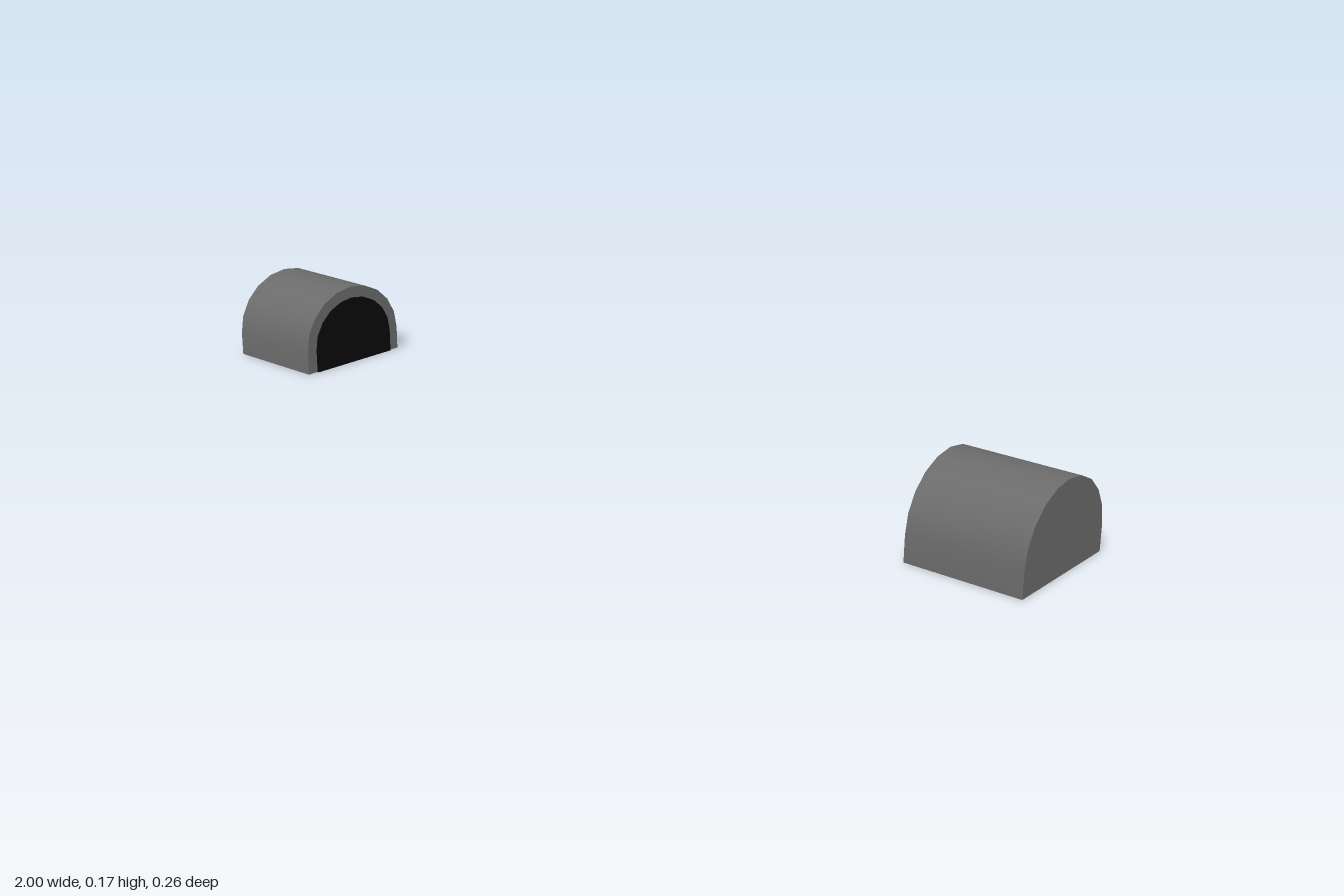
import * as THREE from 'three';
import { toCreasedNormals } from 'three/addons/utils/BufferGeometryUtils.js';

const OUTER_X = 1, INNER_X = 0.772, RIM = 0.025;

// Points of an arch from its right foot over the top to its left foot
function archPoints(inset) {
  const points = [new THREE.Vector2(0.132 - inset, 0)];
  for (let i = 0; i <= 10; i++) {
    const a = (i / 10) * Math.PI;
    points.push(new THREE.Vector2((0.132 - inset) * Math.cos(a), 0.05 + (0.123 - inset) * Math.sin(a)));
  }
  points.push(new THREE.Vector2(-0.132 + inset, 0));
  return points;
}

// Extrude a profile along x, from x0 to x1
function extrudeAlongX(points, x0, x1) {
  const geometry = new THREE.ExtrudeGeometry(new THREE.Shape(points), { depth: x1 - x0, bevelEnabled: false });
  geometry.rotateY(Math.PI / 2).translate(x0, 0, 0);
  return toCreasedNormals(geometry, 0.6);
}

export function createModel() {
  const group = new THREE.Group();
  const grey = new THREE.MeshStandardMaterial({ color: 0x6b6b6b, side: THREE.DoubleSide });
  grey.name = 'grey shell';
  const black = new THREE.MeshStandardMaterial({ color: 0x0a0a0a, side: THREE.DoubleSide });
  black.name = 'black opening';

  // Arched shell, open underneath
  const shell = extrudeAlongX([...archPoints(0), ...archPoints(RIM).reverse()], INNER_X, OUTER_X);
  // Thin wall closing the outer end
  const endWall = new THREE.ShapeGeometry(new THREE.Shape(archPoints(0)));
  endWall.rotateY(Math.PI / 2).translate(OUTER_X, 0, 0);
  // Dark plate in the mouth, standing slightly proud of the rim
  const opening = extrudeAlongX(archPoints(RIM), INNER_X - 0.004, INNER_X + 0.003);

  // Two tunnels whose mouths face each other
  for (const [side, turn] of [['left', 0], ['right', Math.PI]]) {
    const tunnel = new THREE.Group();
    tunnel.name = side + 'Tunnel';
    for (const [name, geometry, material] of [
      ['archShell', shell, grey], ['endWall', endWall, grey], ['tunnelOpening', opening, black],
    ]) {
      const mesh = new THREE.Mesh(geometry, material);
      mesh.name = name;
      tunnel.add(mesh);
    }
    tunnel.rotation.y = turn;
    group.add(tunnel);
  }
  return group;
}
